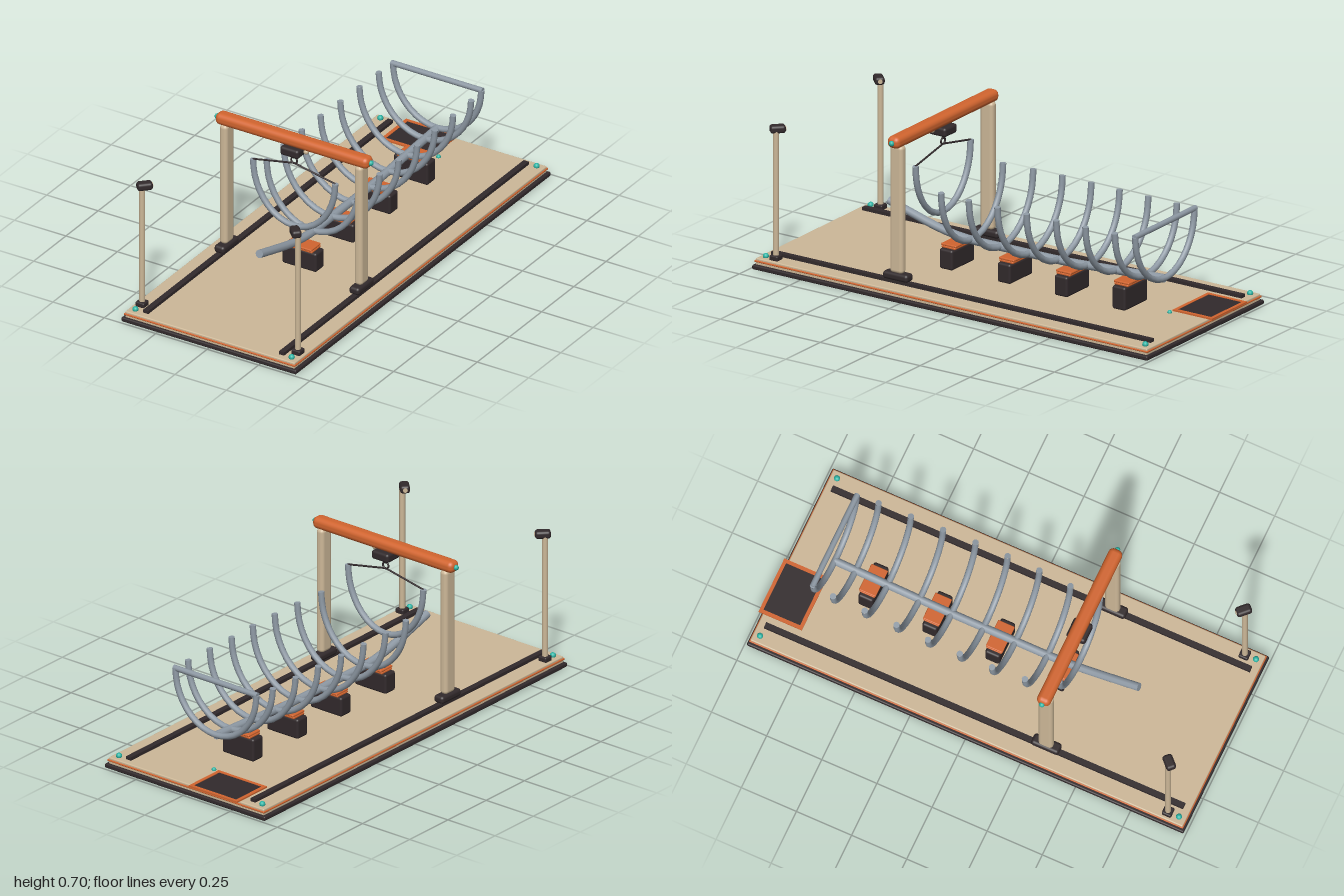
import * as THREE from 'three';
import { mergeGeometries } from 'three/addons/utils/BufferGeometryUtils.js';
import { RoundedBoxGeometry } from 'three/addons/geometries/RoundedBoxGeometry.js';

const material = (name, color) => {
  const m = new THREE.MeshStandardMaterial({ color });
  m.name = name;
  return m;
};

export function createModel() {
  const root = new THREE.Group();
  root.name = 'boatRibWorkshop';
  const cream = material('cream', 0xcdb898);
  const dark = material('charcoal', 0x322a2c);
  const orange = material('orange', 0xd2652f);
  const steel = material('steelGrey', 0x8e99a4);
  const teal = material('teal', 0x2bb5a5);

  const add = (name, geo, mat, x = 0, y = 0, z = 0) => {
    const mesh = new THREE.Mesh(geo, mat);
    mesh.name = name;
    mesh.position.set(x, y, z);
    root.add(mesh);
    return mesh;
  };
  const V = (x, y, z) => new THREE.Vector3(x, y, z);
  const rbox = (w, h, d, r) => new RoundedBoxGeometry(w, h, d, 3, r);
  const box = (w, h, d) => new THREE.BoxGeometry(w, h, d);
  const ball = (r) => new THREE.SphereGeometry(r, 12, 8);

  // Tube through points with flat end caps
  const rod = (points, r, segments) => {
    const curve = new THREE.CatmullRomCurve3(points);
    const parts = [new THREE.TubeGeometry(curve, segments, r, 10)];
    for (const t of [0, 1]) {
      const dir = curve.getTangentAt(t).multiplyScalar(t ? 1 : -1);
      const cap = new THREE.CircleGeometry(r, 10);
      cap.applyQuaternion(new THREE.Quaternion().setFromUnitVectors(V(0, 0, 1), dir));
      const p = curve.getPointAt(t);
      cap.translate(p.x, p.y, p.z);
      parts.push(cap);
    }
    return mergeGeometries(parts);
  };

  // Half-ellipse frame, open at the top
  const rib = (halfWidth, top, bottom, z) => {
    const pts = [];
    for (let i = 0; i <= 12; i++) {
      const a = -Math.PI / 2 + (i / 12) * Math.PI;
      pts.push(V(halfWidth * Math.sin(a), top - (top - bottom) * Math.cos(a), z));
    }
    return rod(pts, 0.0135, 20);
  };

  // Layered base
  add('basePlinth', rbox(0.85, 0.02, 1.98, 0.006), dark, 0, 0.01, 0);
  add('baseLowerDeck', box(0.82, 0.012, 1.955), cream, 0, 0.026, 0);
  add('baseTrim', rbox(0.832, 0.008, 1.968, 0.003), orange, 0, 0.035, 0);
  add('baseDeck', rbox(0.824, 0.014, 1.96, 0.005), cream, 0, 0.041, 0);

  // Drawing tray on the back edge
  const frame = new THREE.Shape([[-0.128, -0.098], [0.128, -0.098], [0.128, 0.098], [-0.128, 0.098]]
    .map(([x, y]) => new THREE.Vector2(x, y)));
  frame.holes.push(new THREE.Path([[-0.112, -0.083], [-0.112, 0.083], [0.112, 0.083], [0.112, -0.083]]
    .map(([x, y]) => new THREE.Vector2(x, y))));
  const frameGeo = new THREE.ExtrudeGeometry(frame, { depth: 0.007, bevelEnabled: false });
  frameGeo.rotateX(-Math.PI / 2);
  add('trayFrame', frameGeo, orange, -0.158, 0.0475, -0.902);
  add('trayPanel', box(0.226, 0.004, 0.168), dark, -0.158, 0.0505, -0.902);
  add('trayMarker', ball(0.01), teal, -0.006, 0.05, -0.805);

  // Mirrored side parts
  for (const s of [1, -1]) {
    add('rail', box(0.025, 0.015, 1.9), dark, s * 0.33, 0.0545, 0);
    for (const z of [-0.95, 0.95]) add('cornerStud', ball(0.013), teal, s * 0.38, 0.053, z);

    // Lamp mast
    add('mastFoot', rbox(0.042, 0.024, 0.042, 0.006), dark, s * 0.379, 0.057, 0.9);
    add('mast', new THREE.CylinderGeometry(0.0125, 0.0125, 0.55, 14), cream, s * 0.379, 0.335, 0.9);
    const lamp = new THREE.Group();
    lamp.name = 'mastLamp';
    const body = new THREE.Mesh(rbox(0.042, 0.034, 0.066, 0.012), dark);
    body.name = 'lampBody';
    const lens = new THREE.Mesh(new THREE.CylinderGeometry(0.01, 0.01, 0.006, 12), cream);
    lens.name = 'lampLens';
    lens.rotation.x = Math.PI / 2;
    lens.position.z = 0.032;
    lamp.add(body, lens);
    lamp.position.set(s * 0.367, 0.617, 0.9);
    lamp.rotation.y = Math.atan2(-s, -1);
    root.add(lamp);

    // Gantry leg with its shoe on the rail
    add('gantryLeg', rbox(0.038, 0.56, 0.065, 0.016), cream, s * 0.328, 0.372, 0.325);
    add('gantryShoe', rbox(0.05, 0.034, 0.125, 0.013), dark, s * 0.328, 0.079, 0.325);
    add('beamEndStud', ball(0.012), teal, s * 0.373, 0.67, 0.325);

    // Sling from the ring to the raised rib
    add('slingArm', rod([V(0, 0.56, 0.325), V(s * 0.2, 0.52, 0.325)], 0.004, 1), dark);
  }

  // Gantry beam and hoist
  add('gantryBeam', rbox(0.744, 0.052, 0.06, 0.022), orange, 0, 0.67, 0.325);
  add('hoistBlock', rbox(0.09, 0.04, 0.085, 0.012), dark, 0, 0.625, 0.325);
  add('hoistCable', new THREE.CylinderGeometry(0.004, 0.004, 0.03, 8), dark, 0, 0.597, 0.325);
  add('hoistRing', new THREE.TorusGeometry(0.0145, 0.004, 8, 20), dark, 0, 0.573, 0.325);
  add('hoistKnob', ball(0.012), cream, 0.065, 0.637, 0.335);
  add('raisedRib', rib(0.2, 0.52, 0.264, 0.325), steel);

  // Keel
  add('keel', rod([V(0, 0.258, 0.595), V(0, 0.225, 0.48), V(0, 0.19, 0.35), V(0, 0.17, 0.22),
    V(0, 0.168, 0), V(0, 0.17, -0.3), V(0, 0.184, -0.55), V(0, 0.196, -0.785)], 0.018, 28), steel);

  // Ribs: z, half width, lowest point
  for (const [z, w, y] of [[0.18, 0.225, 0.172], [0.035, 0.234, 0.17], [-0.11, 0.236, 0.17],
    [-0.255, 0.235, 0.172], [-0.4, 0.23, 0.177], [-0.545, 0.228, 0.185], [-0.69, 0.225, 0.192],
    [-0.785, 0.215, 0.198]]) {
    add('rib', rib(w, 0.44, y, z), steel);
  }
  add('transomBar', rod([V(-0.222, 0.44, -0.785), V(0.222, 0.44, -0.785)], 0.0125, 1), steel);

  // Keel stands: z, block top
  for (const [z, top] of [[0.255, 0.134], [-0.035, 0.132], [-0.32, 0.135], [-0.61, 0.148]]) {
    add('standBlock', rbox(0.167, top - 0.046, 0.066, 0.01), dark, 0, (top + 0.046) / 2, z);
    add('standPadLower', rbox(0.13, 0.01, 0.07, 0.004), orange, 0, top + 0.003, z);
    add('standPadUpper', rbox(0.126, 0.01, 0.076, 0.004), orange, 0, top + 0.012, z);
  }
  return root;
}
